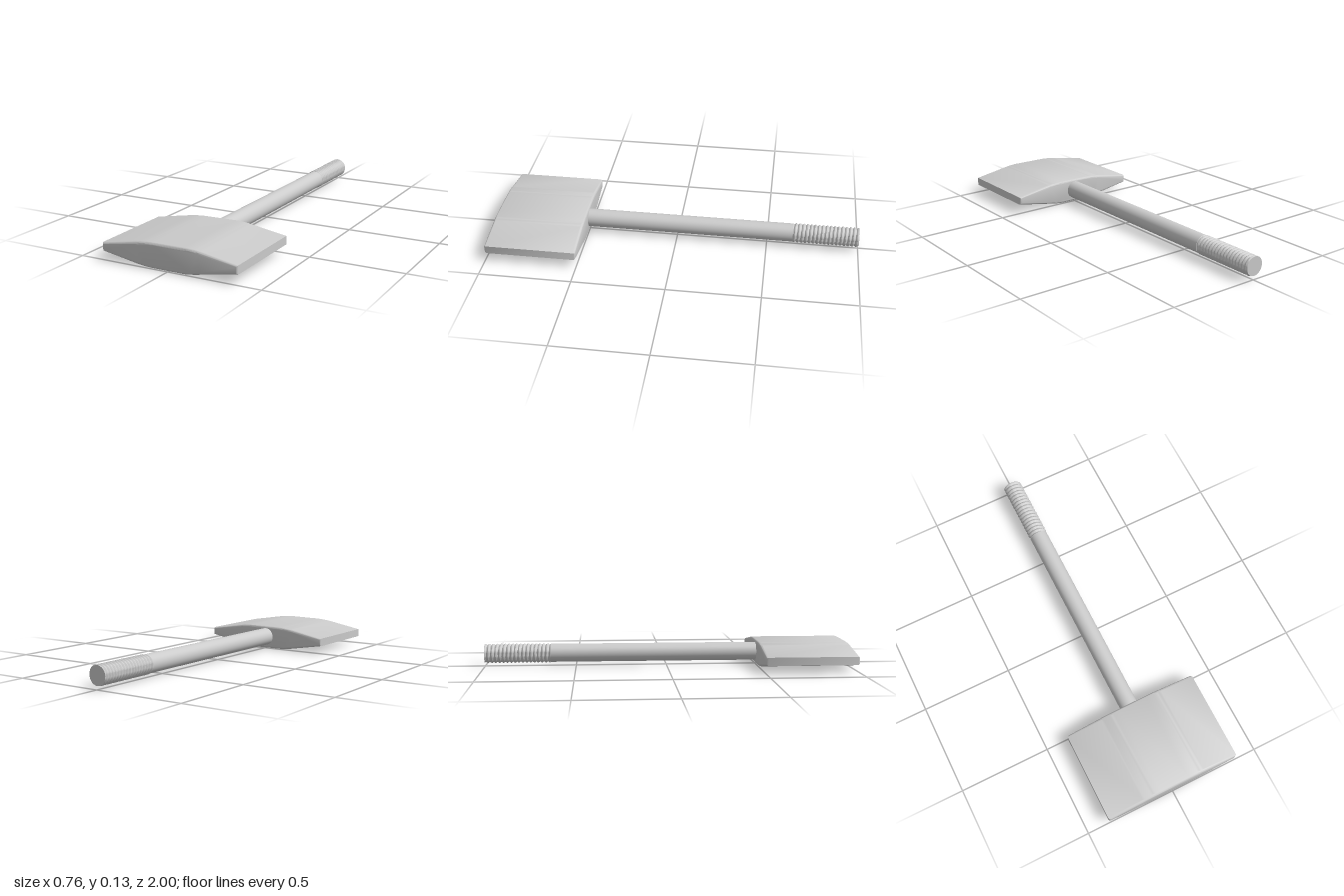
import * as THREE from 'three';
import { toCreasedNormals } from 'three/addons/utils/BufferGeometryUtils.js';

const AXIS_X = -0.003, AXIS_Y = 0.07;

export function createModel() {
  const group = new THREE.Group();
  const material = new THREE.MeshStandardMaterial({ color: 0xcccccc });
  const add = (name, geometry, x = 0, y = 0, z = 0) => {
    const mesh = new THREE.Mesh(geometry, material);
    mesh.name = name;
    mesh.position.set(x, y, z);
    group.add(mesh);
  };

  // Wide head: tapered section with softly rounded front and back edges
  const section = new THREE.Shape();
  section.moveTo(-0.378, 0.043);
  section.lineTo(-0.18, 0.009);
  section.quadraticCurveTo(-0.14, 0.002, -0.1, 0.001);
  section.lineTo(0.08, 0);
  section.quadraticCurveTo(0.13, 0.003, 0.18, 0.014);
  section.lineTo(0.378, 0.05);
  section.lineTo(0.378, 0.094);
  section.lineTo(0.18, 0.127);
  section.quadraticCurveTo(0.13, 0.135, 0.09, 0.134);
  section.lineTo(-0.08, 0.132);
  section.quadraticCurveTo(-0.13, 0.131, -0.18, 0.123);
  section.lineTo(-0.378, 0.087);
  section.closePath();
  const bevel = 0.014;
  const head = new THREE.ExtrudeGeometry(section, {
    depth: 0.5 - 2 * bevel, curveSegments: 8,
    bevelSize: bevel, bevelThickness: bevel, bevelOffset: -bevel, bevelSegments: 5,
  });
  add('head', toCreasedNormals(head, 0.6), 0, 0, 0.5 + bevel);

  // Plain round shank, running a little way into the head
  const shankStart = -0.64, shankEnd = 0.52;
  const shank = new THREE.CylinderGeometry(0.05, 0.05, shankEnd - shankStart, 48);
  shank.rotateX(Math.PI / 2);
  add('shank', shank, AXIS_X, AXIS_Y, (shankStart + shankEnd) / 2);

  // Threaded end: the radius follows a V-shaped helix
  const length = 0.36, turns = 17, pitch = length / turns;
  const thread = new THREE.CylinderGeometry(1, 1, length, 40, turns * 8);
  thread.rotateX(Math.PI / 2);
  const pos = thread.attributes.position;
  for (let i = 0; i < pos.count; i++) {
    const x = pos.getX(i), y = pos.getY(i), z = pos.getZ(i);
    if (Math.hypot(x, y) < 0.5) continue;
    const phase = z / pitch + Math.atan2(y, x) / (2 * Math.PI) + 100;
    const ridge = Math.min(1, 2.6 * Math.abs((phase % 1) - 0.5));
    const r = 0.046 + 0.007 * ridge;
    pos.setXY(i, x * r, y * r);
  }
  add('thread', toCreasedNormals(thread, 0.5), AXIS_X, AXIS_Y, -1 + length / 2);

  return group;
}
